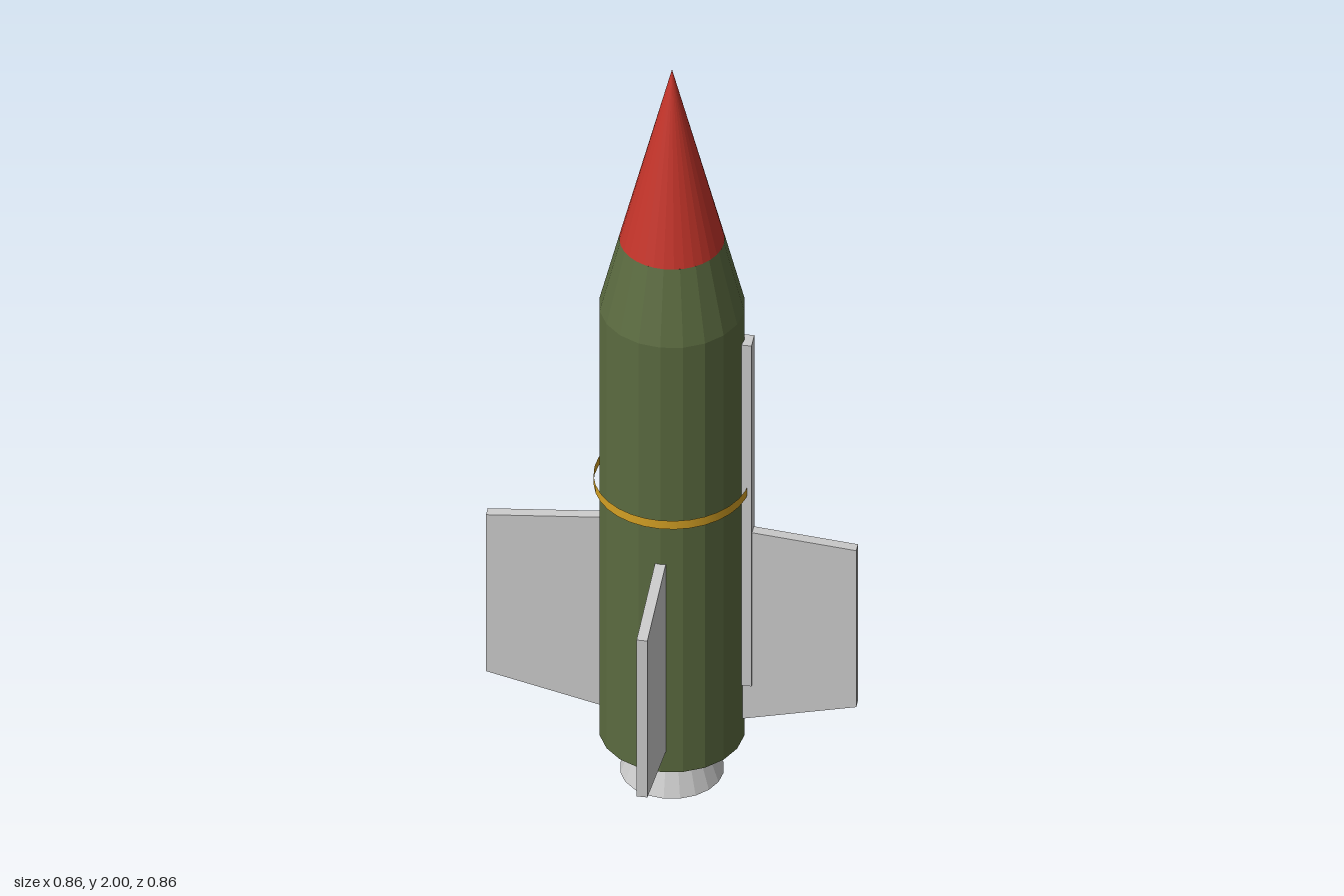
import * as THREE from 'three';

export function createModel() {
  const model = new THREE.Group();
  const paint = (color, extra = {}) => new THREE.MeshStandardMaterial({ color, ...extra });
  const green = paint(0x5b6b40, { flatShading: true });
  const red = paint(0xc4342a, { flatShading: true });
  const gold = paint(0xd4a024, { side: THREE.DoubleSide });
  const grey = paint(0xcccccc, { flatShading: true });

  const add = (name, geometry, material) => {
    const mesh = new THREE.Mesh(geometry, material);
    mesh.name = name;
    model.add(mesh);
    return mesh;
  };
  // Upright tapered cylinder between two heights
  const tapered = (name, y0, y1, r0, r1, sides, material, open = false) =>
    add(name, new THREE.CylinderGeometry(r1, r0, y1 - y0, sides, 1, open)
      .translate(0, (y0 + y1) / 2, 0), material);

  // Hull, from the engine up to the tip
  tapered('nozzle', 0, 0.112, 0.12, 0.079, 20, grey);
  tapered('body', 0.112, 1.327, 0.168, 0.168, 20, green);
  tapered('shoulder', 1.327, 1.517, 0.168, 0.121, 20, green);
  tapered('noseCone', 1.517, 2, 0.121, 0, 32, red);

  // Thin open ring standing slightly off the hull
  tapered('band', 0.817, 0.841, 0.18, 0.18, 32, gold, true);

  // Cable duct along the left side
  add('cableDuct', new THREE.BoxGeometry(0.04, 0.975, 0.042), grey)
    .position.set(0.168, 0.758, 0);

  // Four swept fins around the tail
  const outline = new THREE.Shape([
    [0.16, 0.168], [0.43, 0.234], [0.43, 0.682], [0.16, 0.707],
  ].map(([x, y]) => new THREE.Vector2(x, y)));
  const finGeometry = new THREE.ExtrudeGeometry(outline, { depth: 0.025, bevelEnabled: false })
    .translate(0, 0, -0.0125);
  ['leftFin', 'backFin', 'rightFin', 'frontFin'].forEach((name, i) => {
    add(name, finGeometry, grey).rotation.y = i * Math.PI / 2;
  });

  return model;
}
